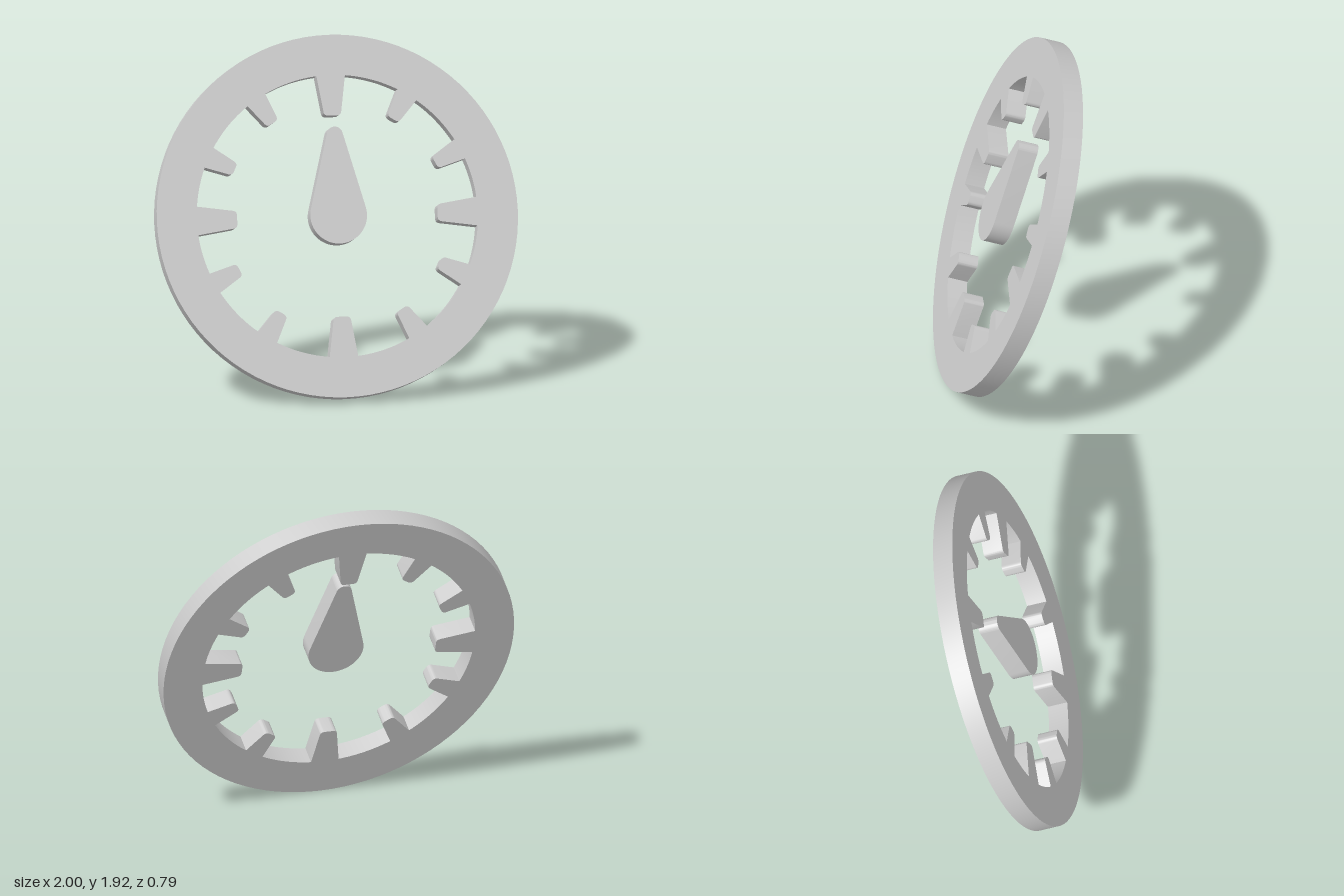
import * as THREE from 'three';
import { toCreasedNormals } from 'three/addons/utils/BufferGeometryUtils.js';

const R_OUT = 1, R_IN = 0.778, THICK = 0.113, TILT = THREE.MathUtils.degToRad(20);

const material = new THREE.MeshStandardMaterial({ color: 0xcccccc });

// Flat plate with smooth curved walls and sharp rims, starting at depth z0
function plate(name, shape, z0, curveSegments) {
  const geo = new THREE.ExtrudeGeometry(shape, { depth: THICK, bevelEnabled: false, curveSegments });
  geo.translate(0, 0, z0);
  const mesh = new THREE.Mesh(toCreasedNormals(geo, 0.5), material);
  mesh.name = name;
  return mesh;
}

// Tick marks: large ones on the quarters, two small ones between them
const LARGE = { base: 0.079, tip: 0.046, r: 0.555, round: 0.022 };
const SMALL = { base: 0.06, tip: 0.036, r: 0.62, round: 0.022 };
function tickList() {
  const list = [];
  for (let q = 0; q < 4; q++) {
    const steps = q % 2 ? [90 - 57.5, 90 - 26.5] : [26.5, 57.5];
    list.push({ deg: q * 90, ...LARGE });
    for (const s of steps) list.push({ deg: q * 90 + s, ...SMALL });
  }
  return list;
}

// Inner outline of the ring: arcs joined by tapered, rounded ticks
function tickedHole() {
  const path = new THREE.Path();
  tickList().forEach((t, i) => {
    const a = THREE.MathUtils.degToRad(t.deg);
    const half = Math.asin(t.base / R_IN);
    const at = (r, s) => [r * Math.cos(a) - s * Math.sin(a), r * Math.sin(a) + s * Math.cos(a)];
    const rb = R_IN * Math.cos(half);
    if (i === 0) path.moveTo(...at(rb, -t.base));
    else path.absarc(0, 0, R_IN, path.userData, a - half, false);
    const slope = (t.base - t.tip) / (rb - t.r);
    const shoulder = t.tip + slope * t.round;
    path.lineTo(...at(t.r + t.round, -shoulder));
    path.quadraticCurveTo(...at(t.r, -t.tip), ...at(t.r, -t.tip + t.round));
    path.lineTo(...at(t.r, t.tip - t.round));
    path.quadraticCurveTo(...at(t.r, t.tip), ...at(t.r + t.round, shoulder));
    path.lineTo(...at(rb, t.base));
    path.userData = a + half;
  });
  path.absarc(0, 0, R_IN, path.userData, 2 * Math.PI - Math.asin(LARGE.base / R_IN), false);
  return path;
}

// Dial ring
function dialRing() {
  const n = 96;
  const shape = new THREE.Shape(Array.from({ length: n }, (_, i) => {
    const a = (i / n) * 2 * Math.PI;
    return new THREE.Vector2(R_OUT * Math.cos(a), R_OUT * Math.sin(a));
  }));
  shape.holes.push(tickedHole());
  return plate('dialRing', shape, -THICK / 2, 6);
}

// Teardrop pointer: two circles joined by their common tangents
function pointer() {
  const r = 0.157, tipR = 0.044, tipY = 0.444;
  const lean = Math.asin((r - tipR) / tipY);
  const shape = new THREE.Shape();
  shape.absarc(0, 0, r, Math.PI - lean, 2 * Math.PI + lean, false);
  shape.absarc(0, tipY, tipR, lean, Math.PI - lean, false);
  shape.closePath();
  return plate('pointer', shape, 0, 20);
}

export function createModel() {
  const model = new THREE.Group();
  model.name = 'dial';
  const face = new THREE.Group();
  face.name = 'tiltedFace';
  face.add(dialRing(), pointer());
  // Lean back and rest the lower rim on the ground
  face.rotation.x = -TILT;
  face.position.y = R_OUT * Math.cos(TILT) + (THICK / 2) * Math.sin(TILT);
  model.add(face);
  return model;
}
